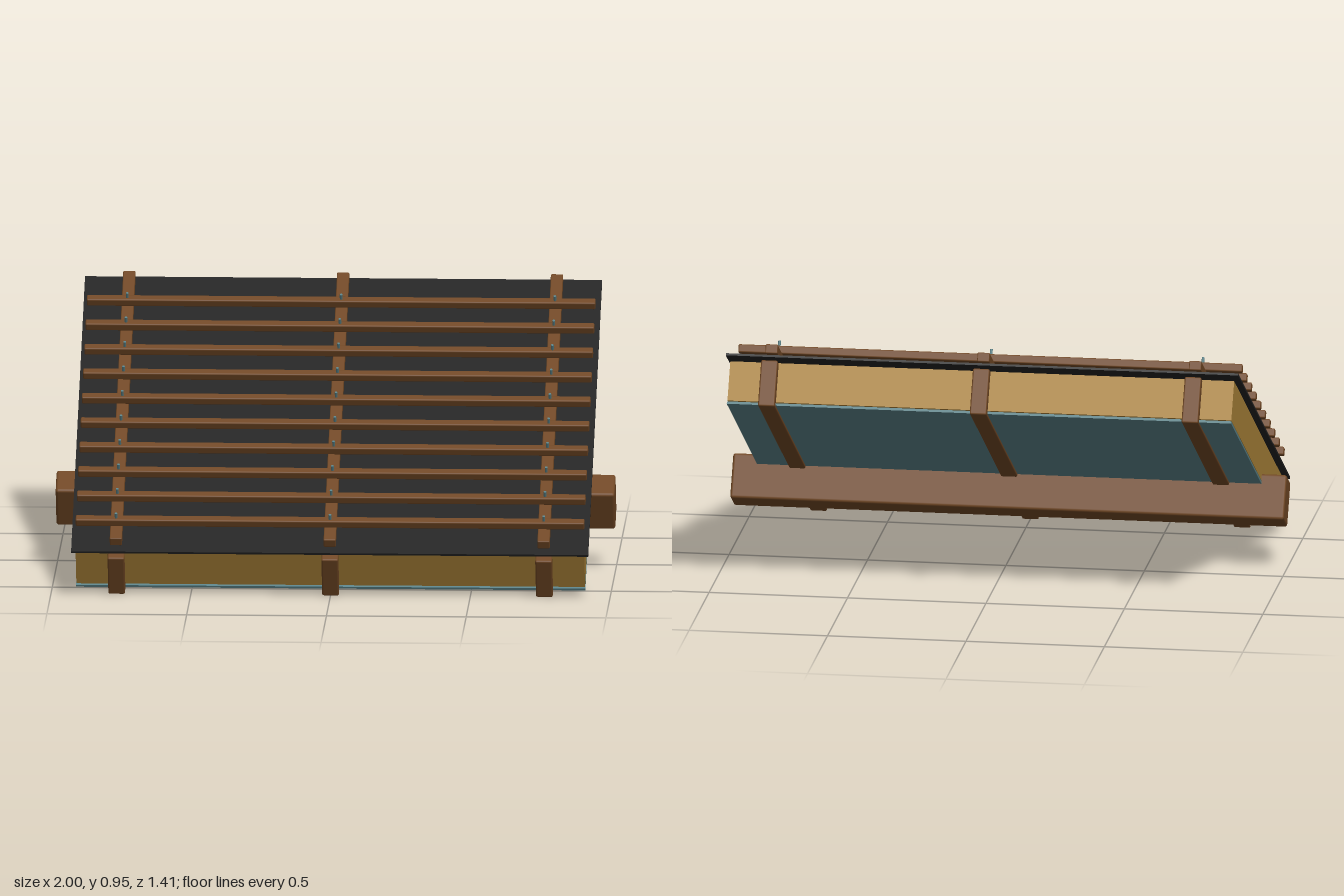
import * as THREE from 'three';
import { RoundedBoxGeometry } from 'three/addons/geometries/RoundedBoxGeometry.js';

const mat = (name, color) => {
  const m = new THREE.MeshStandardMaterial({ color });
  m.name = name;
  return m;
};

export function createModel() {
  const wood = mat('timber', 0x704724);
  const wool = mat('insulation', 0xab8339);
  const felt = mat('roofing felt', 0x222222);
  const membrane = mat('vapour barrier', 0x5a8288);

  const model = new THREE.Group();
  model.name = 'roofSection';

  // Everything is laid out flat, then pitched by 30 degrees
  const slope = new THREE.Group();
  slope.name = 'pitchedRoof';
  slope.rotation.x = Math.PI / 6;
  model.add(slope);

  const MID = -0.23; // middle of the slope along local z

  const add = (name, geometry, material, x, y, z) => {
    const mesh = new THREE.Mesh(geometry, material);
    mesh.name = name;
    mesh.position.set(x, y, z);
    slope.add(mesh);
  };
  // Flat layer between two heights
  const layer = (name, material, width, y0, y1, length) =>
    add(name, new THREE.BoxGeometry(width, y1 - y0, length), material, 0, (y0 + y1) / 2, MID);
  const timber = (w, h, d, bevel) => new RoundedBoxGeometry(w, h, d, 2, bevel);

  // Layers from the inside out
  layer('vapourBarrier', membrane, 1.822, 0.32, 0.329, 1.466);
  layer('insulation', wool, 1.82, 0.333, 0.478, 1.458);
  layer('roofingFelt', felt, 1.85, 0.494, 0.502, 1.5);

  // Purlin carrying the rafters
  add('purlin', timber(2, 0.166, 0.115, 0.01), wood, 0, 0.275, -0.033);

  // Rafters with counter battens above
  const rafterX = [-0.765, 0, 0.765];
  const rafter = timber(0.06, 0.17, 1.524, 0.006);
  const counterBatten = timber(0.044, 0.034, 1.46, 0.004);
  for (const x of rafterX) {
    add('rafter', rafter, wood, x, 0.395, MID);
    add('counterBatten', counterBatten, wood, x, 0.53, MID);
  }

  // Tiling battens, nailed at every crossing
  const batten = timber(1.82, 0.03, 0.03, 0.005);
  const nail = new THREE.CylinderGeometry(0.005, 0.005, 0.05, 8);
  for (let i = 0; i < 10; i++) {
    const z = 0.432 - i * 0.1334;
    add('batten', batten, wood, 0, 0.572, z);
    for (const x of rafterX) add('nail', nail, membrane, x, 0.583, z);
  }

  return model;
}
